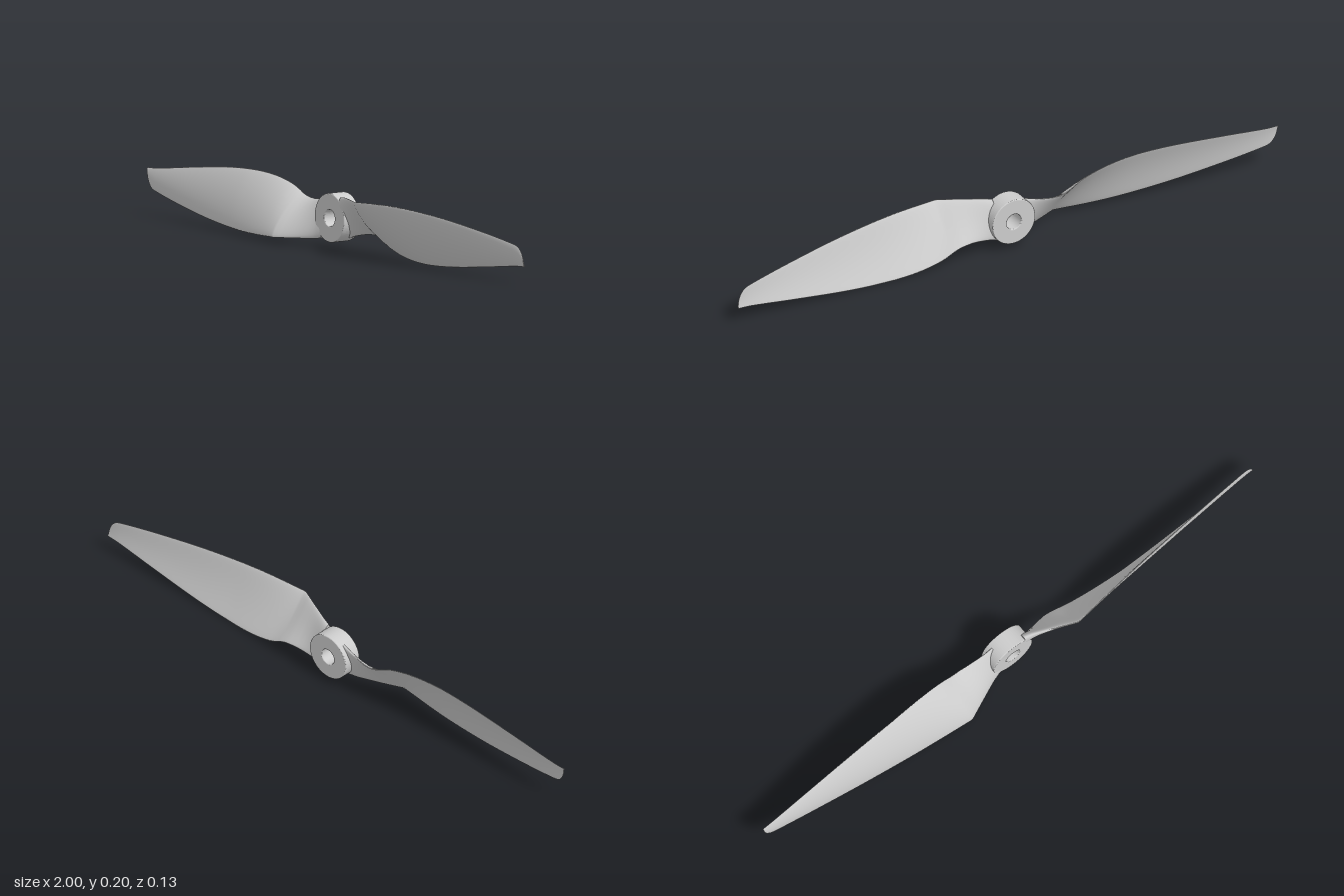
import * as THREE from 'three';

const HUB_Y = 0.103;

// Edge outlines along the span: [x, value]
const topY = [[0.05, 0.174], [0.08, 0.178], [0.2, 0.184], [0.4, 0.189], [0.6, 0.177], [0.8, 0.152], [0.95, 0.127], [0.975, 0.118], [0.99, 0.1], [0.997, 0.082], [1, 0.064]];
const bottomY = [[0.05, 0.04], [0.08, 0.05], [0.15, 0.062], [0.2, 0.056], [0.26, 0.028], [0.35, 0.008], [0.46, 0.002], [0.6, 0.01], [0.8, 0.034], [0.95, 0.054], [1, 0.057]];
const topZ = [[0.05, -0.008], [0.08, 0.003], [0.215, 0.063], [0.225, 0.063], [1, -0.024]];
const bottomZ = [[0.05, -0.045], [0.08, -0.047], [0.17, -0.058], [0.22, -0.056], [0.47, -0.04], [1, -0.029]];
const thickness = [[0.05, 0.036], [0.1, 0.026], [0.2, 0.018], [0.4, 0.014], [0.7, 0.01], [0.95, 0.006], [1, 0.003]];

// Interpolates a table, linearly or with smooth tangents
function sample(table, x, smooth) {
  let i = 0;
  while (i < table.length - 2 && x > table[i + 1][0]) i++;
  const [x0, a] = table[i], [x1, b] = table[i + 1];
  const h = x1 - x0, t = (x - x0) / h;
  if (!smooth) return a + (b - a) * t;
  const slope = (k) => {
    const p = table[Math.max(k - 1, 0)], q = table[Math.min(k + 1, table.length - 1)];
    return (q[1] - p[1]) / (q[0] - p[0]);
  };
  const t2 = t * t, t3 = t2 * t;
  return a * (2 * t3 - 3 * t2 + 1) + b * (3 * t2 - 2 * t3)
    + h * (slope(i) * (t3 - 2 * t2 + t) + slope(i + 1) * (t3 - t2));
}

// Twisted blade lofted through cambered aerofoil sections
function bladeGeometry() {
  const xs = [0.05, 0.065, 0.08, 0.1, 0.125, 0.15, 0.175, 0.195, 0.215, 0.225];
  for (let i = 1; i <= 36; i++) xs.push(0.225 + (0.95 - 0.225) * i / 36);
  xs.push(0.96, 0.97, 0.978, 0.985, 0.99, 0.994, 0.997, 0.999, 1);
  const half = 16, ring = half * 2;
  const pos = [], idx = [];
  for (const x of xs) {
    const y0 = sample(topY, x, true), y1 = sample(bottomY, x, true);
    const z0 = sample(topZ, x), z1 = sample(bottomZ, x);
    const dy = y1 - y0, dz = z1 - z0, chord = Math.hypot(dy, dz);
    const ny = dz / chord, nz = -dy / chord;
    const thick = Math.min(sample(thickness, x, true), chord * 0.4);
    const camber = 0.05 * chord * Math.min(1, Math.max(0, (x - 0.08) / 0.15));
    for (let k = 0; k < ring; k++) {
      const ang = Math.PI * k / half;
      const t = (1 - Math.cos(ang)) / 2;
      const body = Math.sin(ang) * (1 - 0.35 * (t - 0.35)) * thick / 2;
      const off = body + camber * 4 * t * (1 - t);
      pos.push(x, y0 + dy * t + ny * off - HUB_Y, z0 + dz * t + nz * off);
    }
  }
  for (let i = 0; i < xs.length - 1; i++) {
    for (let k = 0; k < ring; k++) {
      const a = i * ring + k, b = i * ring + (k + 1) % ring;
      idx.push(a, b, a + ring, b, b + ring, a + ring);
    }
  }
  // End caps with their own corners
  for (const end of [0, xs.length - 1]) {
    const base = pos.length / 3;
    pos.push(...pos.slice(end * ring * 3, (end + 1) * ring * 3));
    for (let k = 1; k < ring - 1; k++) {
      if (end === 0) idx.push(base, base + k + 1, base + k);
      else idx.push(base, base + k, base + k + 1);
    }
  }
  // Reverse the winding if the enclosed volume comes out negative
  let volume = 0;
  const v = (i) => new THREE.Vector3().fromArray(pos, i * 3);
  for (let i = 0; i < idx.length; i += 3) volume += v(idx[i]).dot(v(idx[i + 1]).cross(v(idx[i + 2])));
  if (volume < 0) idx.reverse();
  const geo = new THREE.BufferGeometry();
  geo.setAttribute('position', new THREE.Float32BufferAttribute(pos, 3));
  geo.setIndex(idx);
  geo.computeVertexNormals();
  return geo;
}

// Round hub with softened rims and a shaft hole
function hubGeometry() {
  const shape = new THREE.Shape().absarc(0, 0, 0.076, 0, Math.PI * 2);
  const bore = new THREE.Path().absarc(0, 0, 0.03, 0, Math.PI * 2, true);
  shape.holes.push(bore);
  const geo = new THREE.ExtrudeGeometry(shape, {
    depth: 0.059, bevelEnabled: true, bevelThickness: 0.003, bevelSize: 0.003, bevelSegments: 3, curveSegments: 40,
  });
  geo.translate(0, 0, -0.062);
  return geo;
}

export function createModel() {
  const group = new THREE.Group();
  group.name = 'propeller';
  const material = new THREE.MeshStandardMaterial({ color: 0xcccccc });

  const hub = new THREE.Mesh(hubGeometry(), material);
  hub.name = 'hub';
  hub.position.y = HUB_Y;
  group.add(hub);

  // Two equal blades, half a turn apart
  const blade = bladeGeometry();
  ['leftBlade', 'rightBlade'].forEach((name, i) => {
    const mesh = new THREE.Mesh(blade, material);
    mesh.name = name;
    mesh.position.y = HUB_Y;
    mesh.rotation.z = i * Math.PI;
    group.add(mesh);
  });
  return group;
}
